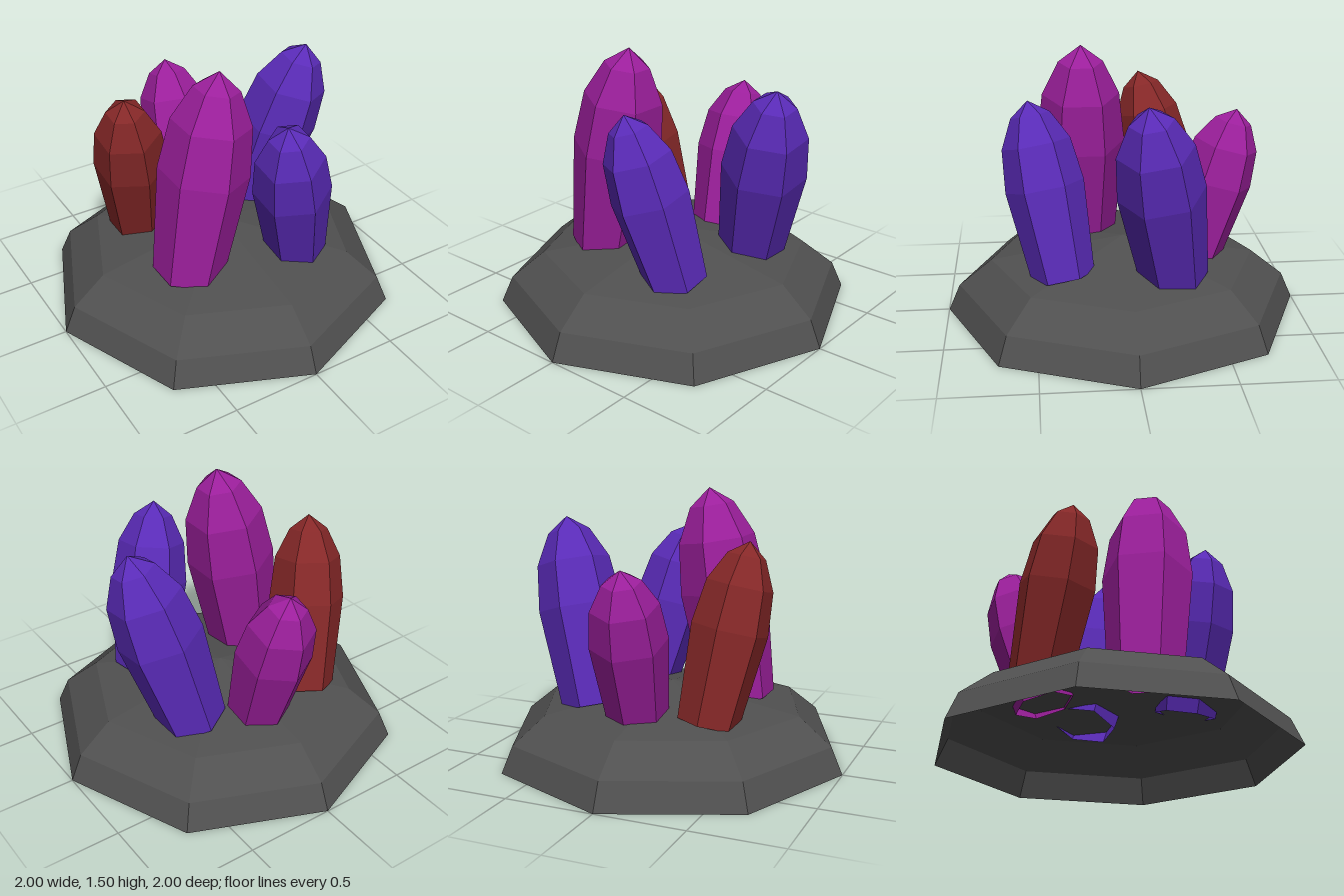
import * as THREE from 'three';

const PURPLE = 0x5a2bb8, MAGENTA = 0x9c1f9c, RED = 0x862828, STONE = 0x505050;

// Faceted, open-bottomed turned shape from [radius, height] pairs
function facetedLathe(name, profile, sides, color) {
  const points = profile.map(([r, y]) => new THREE.Vector2(r, y));
  const material = new THREE.MeshStandardMaterial({
    color, flatShading: true, side: THREE.DoubleSide,
  });
  const mesh = new THREE.Mesh(new THREE.LatheGeometry(points, sides), material);
  mesh.name = name;
  return mesh;
}

// Six-sided crystal leaning from its foot to its tip, widest half way up
function crystal(name, foot, tip, radius, color) {
  const start = new THREE.Vector3(...foot);
  const axis = new THREE.Vector3(...tip).sub(start);
  const length = axis.length();
  const profile = [
    [0.8 * radius, 0],
    [radius, 0.52 * length],
    [0.87 * radius, 0.76 * length],
    [0.5 * radius, 0.92 * length],
    [0, length],
  ];
  const mesh = facetedLathe(name, profile, 6, color);
  mesh.position.copy(start);
  mesh.quaternion.setFromUnitVectors(new THREE.Vector3(0, 1, 0), axis.normalize());
  return mesh;
}

export function createModel() {
  const group = new THREE.Group();
  group.name = 'crystalCluster';

  // Hollow eight-sided rock mound
  group.add(facetedLathe('rockBase',
    [[1, 0], [0.935, 0.15], [0.75, 0.3], [0, 0.425]], 8, STONE));

  // Ring of crystals standing in the mound
  group.add(
    crystal('tallMagentaCrystal', [-0.33, 0.31, 0.22], [-0.13, 1.5, 0.22], 0.25, MAGENTA),
    crystal('frontPurpleCrystal', [0.3, 0.31, 0.35], [0.095, 1.25, 0.52], 0.215, PURPLE),
    crystal('sidePurpleCrystal', [0.36, 0.31, -0.25], [0.62, 1.335, -0.075], 0.235, PURPLE),
    crystal('backMagentaCrystal', [0.03, 0.32, -0.4], [0.015, 1.155, -0.635], 0.21, MAGENTA),
    crystal('redCrystal', [-0.35, 0.31, -0.34], [-0.5, 1.265, -0.137], 0.21, RED),
  );
  return group;
}
